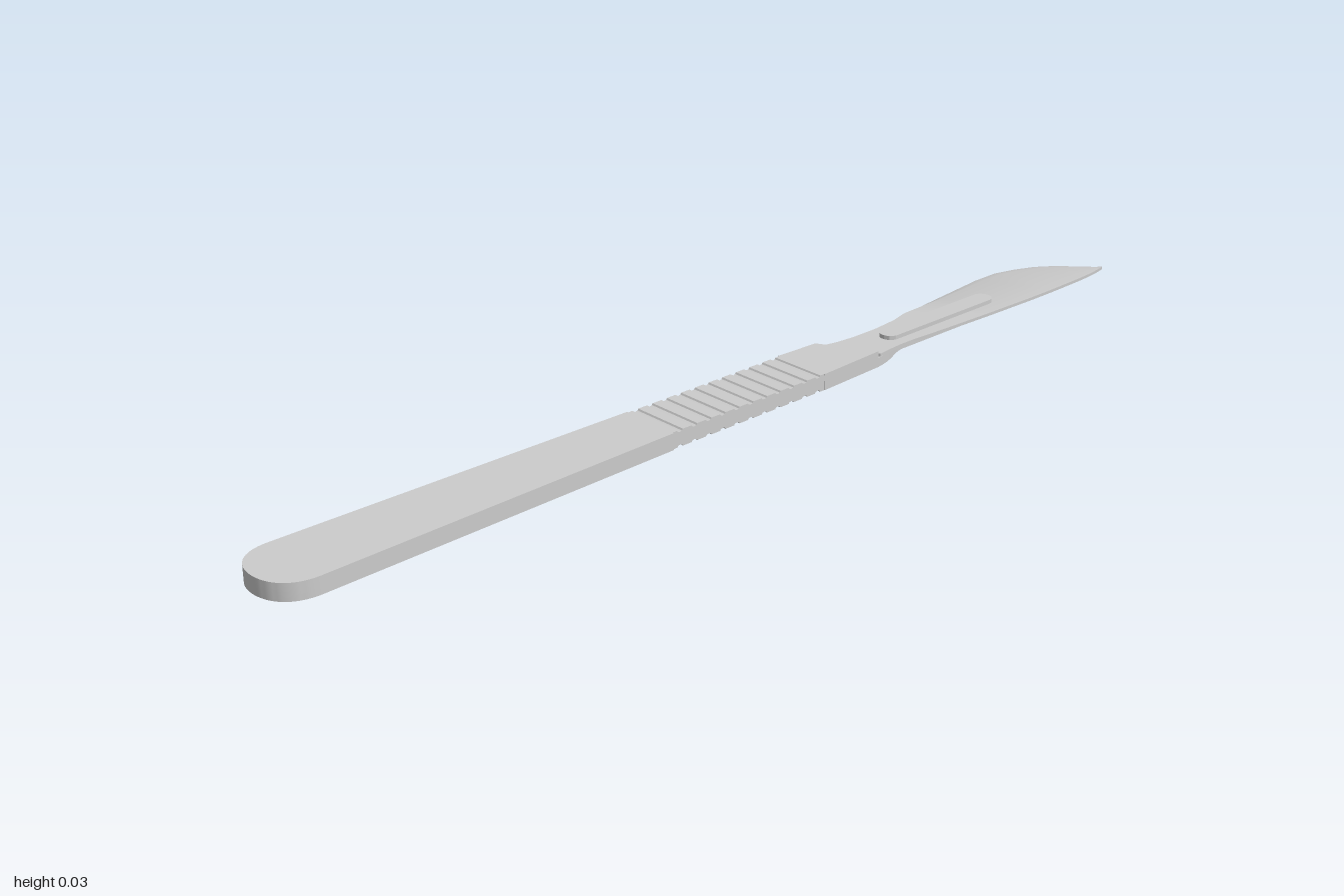
import * as THREE from 'three';
import { toCreasedNormals } from 'three/addons/utils/BufferGeometryUtils.js';

const H = 0.032; // handle thickness
const material = new THREE.MeshStandardMaterial({ color: 0xcccccc });

function addMesh(group, name, geometry) {
  const mesh = new THREE.Mesh(toCreasedNormals(geometry, 0.6), material);
  mesh.name = name;
  group.add(mesh);
}

// Plan outline (x, z) raised from y0 to y1
function slab(shape, y0, y1) {
  const g = new THREE.ExtrudeGeometry(shape, { depth: y1 - y0, bevelEnabled: false, curveSegments: 16 });
  return g.rotateX(Math.PI / 2).translate(0, y1, 0);
}

// Side profile (z, y) with a row of notches above and below, extruded across x
function gripGeometry() {
  const z0 = -0.17, z1 = 0.2, count = 11, depth = 0.004;
  const pitch = (z1 - z0) / count;
  const notch = [[0.3, 0], [0.36, 0.7], [0.5, 1], [0.64, 0.7], [0.7, 0]];
  const bottom = [];
  for (let i = 0; i < count; i++) {
    for (const [t, d] of notch) bottom.push([z0 + (i + t) * pitch, d * depth]);
  }
  const top = bottom.map(([z, y]) => [z, H - y]).reverse();
  const outline = [[z0, 0], ...bottom, [z1, 0], [z1, H], ...top, [z0, H]];
  const shape = new THREE.Shape(outline.map(([z, y]) => new THREE.Vector2(z, y)));
  const g = new THREE.ExtrudeGeometry(shape, { depth: 0.116, bevelEnabled: false });
  return g.rotateY(-Math.PI / 2).translate(0.064, 0, 0);
}

// Loft of four-cornered sections; the left edge is ground to a bevel
function bladeGeometry() {
  const y0 = 0.018, y1 = 0.024;
  // left x, left z, right x, right z, bevel width
  const stations = [
    [-0.048, -0.272, 0.056, -0.328, 0],
    [-0.040, -0.31, 0.052, -0.36, 0],
    [-0.036, -0.35, 0.050, -0.39, 0],
    [-0.036, -0.41, 0.050, -0.43, 0],
    [-0.042, -0.47, 0.053, -0.47, 0],
    [-0.052, -0.508, 0.055, -0.51, 0],
    [-0.059, -0.522, 0.056, -0.53, 0.006],
    [-0.071, -0.63, 0.060, -0.63, 0.014],
    [-0.085, -0.76, 0.063, -0.76, 0.02],
    [-0.085, -0.82, 0.063, -0.82, 0.022],
    [-0.073, -0.865, 0.062, -0.865, 0.024],
    [-0.055, -0.908, 0.061, -0.908, 0.025],
    [-0.030, -0.943, 0.059, -0.943, 0.025],
    [0.000, -0.97, 0.056, -0.97, 0.022],
    [0.030, -0.988, 0.053, -0.988, 0.012],
    [0.050, -1.0, 0.050, -1.0, 0],
  ];
  const rings = stations.map(([xl, zl, xr, zr, b]) => [
    [xl, y0, zl], [xl + b, y1, zl], [xr, y1, zr], [xr, y0, zr],
  ]);
  const pos = [];
  const quad = (a, b, c, d) => pos.push(...a, ...b, ...c, ...a, ...c, ...d);
  const first = rings[0];
  quad(first[0], first[3], first[2], first[1]);
  for (let i = 0; i < rings.length - 1; i++) {
    for (let k = 0; k < 4; k++) {
      const n = (k + 1) % 4;
      quad(rings[i][k], rings[i][n], rings[i + 1][n], rings[i + 1][k]);
    }
  }
  const g = new THREE.BufferGeometry();
  g.setAttribute('position', new THREE.Float32BufferAttribute(pos, 3));
  g.computeVertexNormals();
  return g;
}

export function createModel() {
  const group = new THREE.Group();
  group.name = 'scalpel';

  // Long handle, widening towards its rounded end
  const handle = new THREE.Shape();
  handle.moveTo(-0.055, 0.2);
  handle.lineTo(0.067, 0.2);
  handle.lineTo(0.083, 0.925);
  handle.bezierCurveTo(0.083, 0.975, 0.05, 1, 0.0095, 1);
  handle.bezierCurveTo(-0.031, 1, -0.064, 0.975, -0.064, 0.925);
  addMesh(group, 'handle', slab(handle, 0, H));

  addMesh(group, 'grip', gripGeometry());

  // Solid shoulder with a slanted front
  const shoulder = new THREE.Shape();
  shoulder.moveTo(-0.054, -0.17);
  shoulder.lineTo(-0.05, -0.262);
  shoulder.lineTo(0.058, -0.32);
  shoulder.lineTo(0.065, -0.17);
  addMesh(group, 'shoulder', slab(shoulder, 0, H));

  // Tang under the blade, narrowing to a bar
  const r = 0.02, cx = 0.008, barEnd = -0.69;
  const tang = new THREE.Shape();
  tang.moveTo(-0.05, -0.262);
  tang.bezierCurveTo(-0.042, -0.32, -0.018, -0.35, cx - r, -0.42);
  tang.lineTo(cx - r, barEnd + r);
  tang.absarc(cx, barEnd + r, r, Math.PI, Math.PI * 2, false);
  tang.lineTo(cx + r, -0.42);
  tang.bezierCurveTo(0.03, -0.39, 0.052, -0.37, 0.058, -0.32);
  addMesh(group, 'tang', slab(tang, 0, 0.018));

  // Raised key standing through the blade
  const key = new THREE.Shape();
  key.absarc(cx, barEnd + r, r, Math.PI, Math.PI * 2, false);
  key.absarc(cx, -0.385 - r, r, 0, Math.PI, false);
  addMesh(group, 'bladeKey', slab(key, 0.018, H));

  addMesh(group, 'blade', bladeGeometry());
  return group;
}
